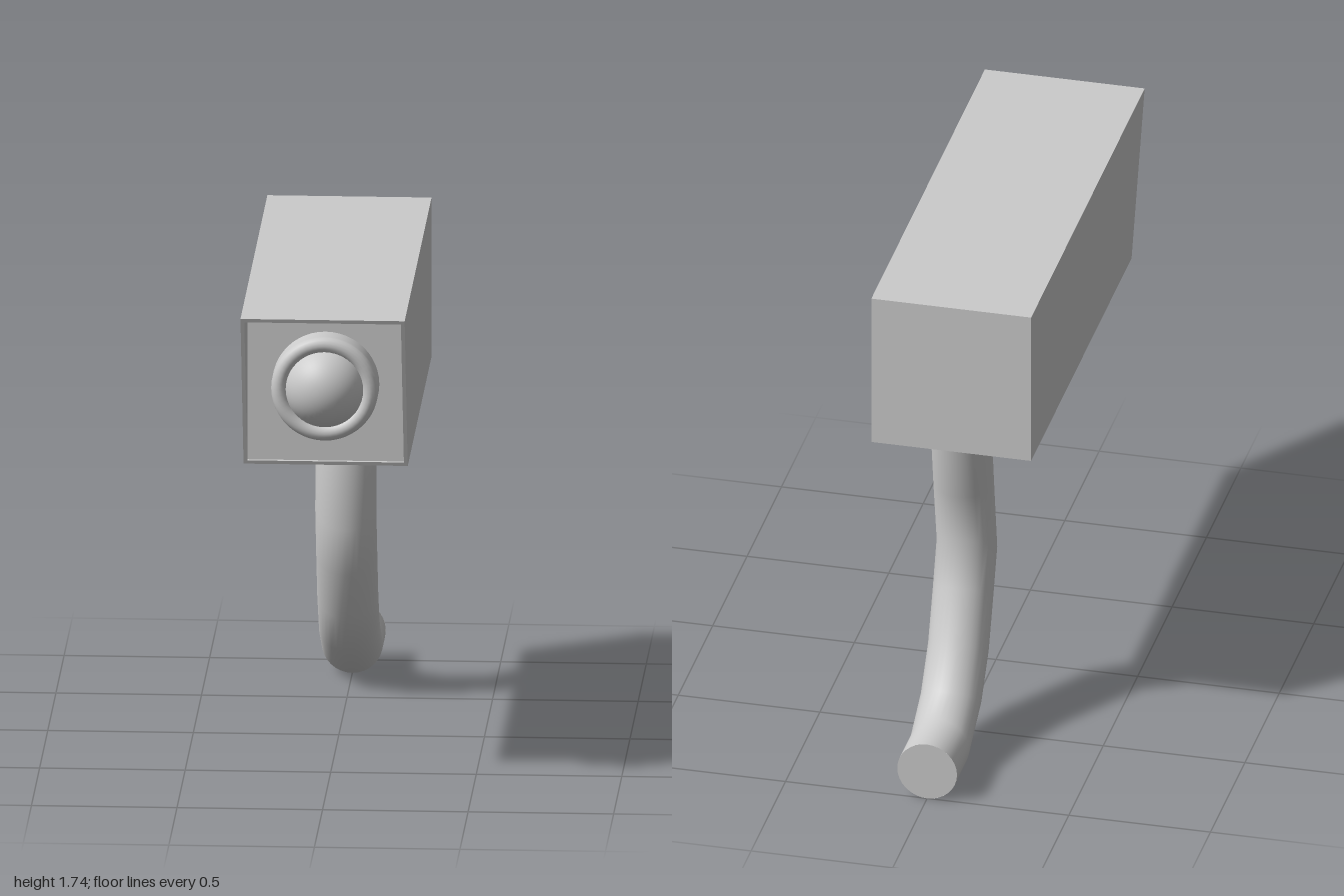
import * as THREE from 'three';

const material = new THREE.MeshStandardMaterial({ color: 0xcccccc, side: THREE.DoubleSide });

function addMesh(parent, name, geometry, x = 0, y = 0, z = 0) {
  const mesh = new THREE.Mesh(geometry, material);
  mesh.name = name;
  mesh.position.set(x, y, z);
  parent.add(mesh);
  return mesh;
}

function square(PathType, r) {
  const path = new PathType();
  path.moveTo(-r, -r).lineTo(r, -r).lineTo(r, r).lineTo(-r, r).closePath();
  return path;
}

// Thin square sleeve whose front rim leans forward at the top
function sleeveGeometry(half, wall, back, frontBottom, frontTop) {
  const shape = square(THREE.Shape, half);
  shape.holes.push(square(THREE.Path, half - wall));
  const geometry = new THREE.ExtrudeGeometry(shape, { depth: 1, bevelEnabled: false });
  const p = geometry.attributes.position;
  for (let i = 0; i < p.count; i++) {
    const t = (p.getY(i) + half) / (2 * half);
    p.setZ(i, p.getZ(i) < 0.5 ? back : THREE.MathUtils.lerp(frontBottom, frontTop, t));
  }
  geometry.computeVertexNormals();
  return geometry;
}

// Bent pipe: each section is [front z, front y, back z, back y]
function armGeometry(sections, radius, sides) {
  const positions = [], index = [];
  for (const [fz, fy, bz, by] of sections) {
    for (let j = 0; j < sides; j++) {
      const a = (j / sides) * Math.PI * 2, c = Math.cos(a) / 2;
      positions.push(Math.sin(a) * radius, (fy + by) / 2 + c * (fy - by), (fz + bz) / 2 + c * (fz - bz));
    }
  }
  for (let i = 0; i < sections.length - 1; i++) {
    for (let j = 0; j < sides; j++) {
      const a = i * sides + j, b = i * sides + ((j + 1) % sides);
      index.push(a, a + sides, b, b, a + sides, b + sides);
    }
  }
  const geometry = new THREE.BufferGeometry();
  geometry.setAttribute('position', new THREE.Float32BufferAttribute(positions, 3));
  geometry.setIndex(index);
  geometry.computeVertexNormals();
  return geometry;
}

export function createModel() {
  const model = new THREE.Group();
  model.name = 'securityCamera';

  // Housing: sleeve with a filled body set back behind the slanted rim
  const half = 0.282, wall = 0.013, midY = 1.456, back = -0.65, plate = 0.8;
  const housing = new THREE.Group();
  housing.name = 'housing';
  model.add(housing);
  addMesh(housing, 'housingShell', sleeveGeometry(half, wall, back, 0.81, 1), 0, midY, 0);
  const inner = 2 * (half - wall);
  addMesh(housing, 'housingBody', new THREE.BoxGeometry(inner, inner, plate - back), 0, midY, (plate + back) / 2);

  // Lens: domed glass, rounded ring and the short barrel behind it
  const lens = new THREE.Group();
  lens.name = 'lens';
  lens.position.set(0, 1.46, 0);
  model.add(lens);
  const dome = new THREE.SphereGeometry(0.146, 40, 16, 0, Math.PI * 2, 0, Math.PI / 2).rotateX(Math.PI / 2);
  addMesh(lens, 'lensDome', dome, 0, 0, 0.824);
  addMesh(lens, 'lensRing', new THREE.TorusGeometry(0.156, 0.028, 16, 48), 0, 0, 0.868);
  const barrel = new THREE.CylinderGeometry(0.184, 0.184, 0.08, 48, 1, true).rotateX(Math.PI / 2);
  addMesh(lens, 'lensBarrel', barrel, 0, 0, 0.828);

  // Mounting arm, curving down and back to the wall
  const arm = new THREE.Group();
  arm.name = 'mountingArm';
  model.add(arm);
  const sections = [
    [-0.40, 1.21, -0.61, 1.21],
    [-0.405, 1.173, -0.603, 1.173],
    [-0.377, 0.96, -0.56, 0.944],
    [-0.336, 0.635, -0.507, 0.747],
    [-0.40, 0.46, -0.56, 0.587],
    [-0.464, 0.288, -0.629, 0.41],
    [-0.571, 0.144, -0.731, 0.272],
    [-0.825, 0, -0.82, 0.212],
    [-1, 0, -1, 0.212],
  ];
  addMesh(arm, 'armPipe', armGeometry(sections, 0.105, 32));
  addMesh(arm, 'armEndCap', new THREE.CircleGeometry(0.1055, 32).rotateY(Math.PI), 0, 0.106, -1);

  return model;
}
